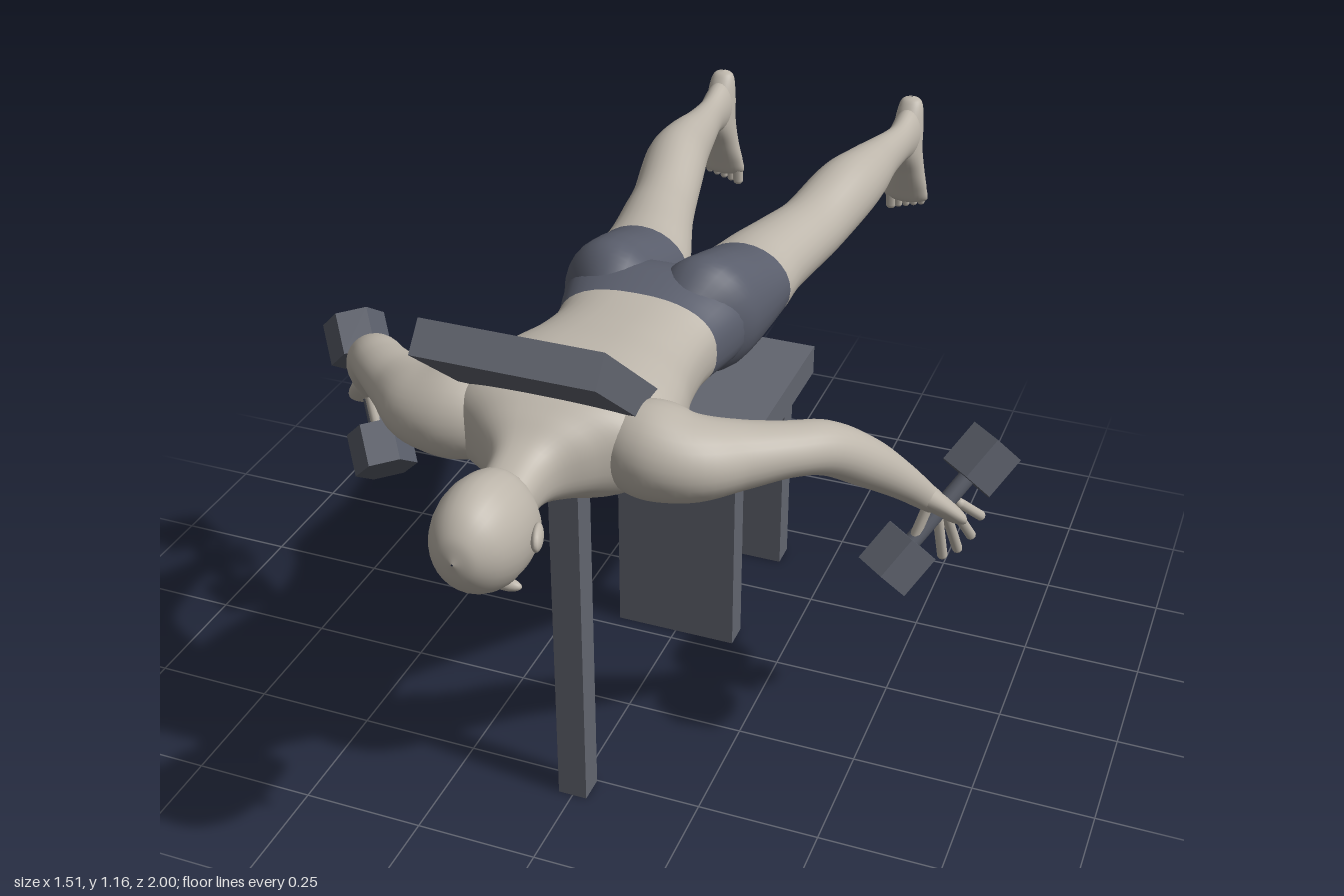
import * as THREE from 'three';

const mat = (name, color) => {
  const m = new THREE.MeshStandardMaterial({ color });
  m.name = name;
  return m;
};
const V = (x, y, z) => new THREE.Vector3(x, y, z);

export function createModel() {
  const skin = mat('skin', 0xbdb6ab);
  const shorts = mat('shorts cloth', 0x5a5e6c);
  const bench = mat('bench grey', 0x62656f);
  const iron = mat('dumbbell grey', 0x585c67);
  const model = new THREE.Group();

  const add = (name, geometry, material, parent = model) => {
    const mesh = new THREE.Mesh(geometry, material);
    mesh.name = name;
    parent.add(mesh);
    return mesh;
  };

  // Smooth skin through rings [x, y, z, width radius, height radius].
  // Material 1 is used for the key intervals from..to.
  const loft = (keys, { up = V(0, 1, 0), dir = null, power = 1, from = 0, to = 0, n = 28, steps = 6 } = {}) => {
    const centre = new THREE.CatmullRomCurve3(keys.map(k => V(k[0], k[1], k[2])), false, 'catmullrom', 0.5);
    const radii = new THREE.CatmullRomCurve3(keys.map(k => V(k[3], k[4], 0)), false, 'catmullrom', 0.5);
    const rings = (keys.length - 1) * steps;
    const pos = [], index = [];
    const bend = a => Math.sign(a) * Math.pow(Math.abs(a), power);
    for (let i = 0; i <= rings; i++) {
      const t = i / rings, c = centre.getPoint(t), r = radii.getPoint(t);
      const along = dir || centre.getTangent(t);
      const u = along.clone().cross(up).normalize();
      const v = u.clone().cross(along).normalize();
      for (let j = 0; j < n; j++) {
        const a = j / n * Math.PI * 2;
        const p = c.clone().addScaledVector(u, bend(Math.cos(a)) * Math.max(r.x, 0.001))
          .addScaledVector(v, bend(Math.sin(a)) * Math.max(r.y, 0.001));
        pos.push(p.x, p.y, p.z);
      }
    }
    for (let i = 0; i < rings; i++) for (let j = 0; j < n; j++) {
      const a = i * n + j, b = i * n + (j + 1) % n;
      index.push(a, a + n, b, b, a + n, b + n);
    }
    const g = new THREE.BufferGeometry();
    g.setAttribute('position', new THREE.Float32BufferAttribute(pos, 3));
    g.setIndex(index);
    g.computeVertexNormals();
    const per = steps * n * 6;
    g.addGroup(0, from * per, 0);
    g.addGroup(from * per, (to - from) * per, 1);
    g.addGroup(to * per, index.length - to * per, 0);
    return g;
  };

  const aim = (obj, a, b) => {
    obj.position.copy(a).lerp(b, 0.5);
    obj.quaternion.setFromUnitVectors(V(0, 1, 0), b.clone().sub(a).normalize());
  };
  const finger = (name, a, b, r, parent) =>
    aim(add(name, new THREE.CapsuleGeometry(r, a.distanceTo(b), 4, 10), skin, parent), a, b);
  const blob = (name, p, s, parent) => {
    const m = add(name, new THREE.SphereGeometry(1, 16, 12), skin, parent);
    m.position.set(...p);
    m.scale.set(...s);
    return m;
  };
  const box = (name, w, h, d, x, y, z) => {
    const m = add(name, new THREE.BoxGeometry(w, h, d), bench);
    m.position.set(x, y, z);
    return m;
  };

  // Bench
  box('benchSeat', 0.34, 0.068, 0.485, 0, 0.506, -0.223);
  box('benchFrontLeg', 0.27, 0.475, 0.057, 0, 0.2375, -0.057);
  box('benchRearLeg', 0.27, 0.475, 0.057, 0, 0.2375, -0.395);
  box('benchPost', 0.06, 0.87, 0.057, 0, 0.435, 0.53);
  box('benchBackrest', 0.34, 0.066, 0.95, 0, 0.828, 0.403).rotation.x = -0.696;

  // Torso and neck, running from the head towards the hips
  const back = V(0, 0, -1);
  add('torso', loft([
    [0, 0.86, 0.81, 0.05, 0.05], [0, 0.873, 0.73, 0.062, 0.062], [0, 0.882, 0.675, 0.12, 0.085],
    [0, 0.882, 0.62, 0.19, 0.108], [0, 0.878, 0.54, 0.215, 0.12], [0, 0.872, 0.44, 0.198, 0.12],
    [0, 0.866, 0.34, 0.172, 0.11], [0, 0.862, 0.25, 0.162, 0.102], [0, 0.862, 0.19, 0.167, 0.102],
    [0, 0.868, 0.1, 0.19, 0.107], [0, 0.862, 0.03, 0.185, 0.094], [0, 0.86, -0.015, 0.12, 0.06],
    [0, 0.86, -0.03, 0.002, 0.002],
  ], { dir: back, power: 0.82, from: 8, to: 12, n: 40 }), [skin, shorts]);

  // Head, face down
  const head = new THREE.Group();
  head.name = 'head';
  model.add(head);
  add('skull', loft([
    [0, 0.86, 1.0, 0.002, 0.002], [0, 0.86, 0.988, 0.038, 0.045], [0, 0.857, 0.955, 0.066, 0.083],
    [0, 0.851, 0.905, 0.08, 0.106], [0, 0.842, 0.85, 0.079, 0.109], [0, 0.827, 0.8, 0.068, 0.1],
    [0, 0.795, 0.768, 0.054, 0.07], [0, 0.768, 0.748, 0.03, 0.034], [0, 0.765, 0.742, 0.002, 0.002],
  ], { dir: back }), skin, head);
  blob('nose', [0, 0.732, 0.828], [0.014, 0.018, 0.024], head);
  blob('lips', [0, 0.738, 0.79], [0.024, 0.013, 0.013], head);
  blob('chin', [0, 0.75, 0.763], [0.028, 0.022, 0.018], head);

  for (const s of [1, -1]) {
    const side = s > 0 ? 'left' : 'right';
    const P = (x, y, z) => V(x * s, y, z);
    const flip = keys => keys.map(([x, ...rest]) => [x * s, ...rest]);

    blob(side + 'Brow', [0.03 * s, 0.742, 0.868], [0.03, 0.012, 0.012], head);
    blob(side + 'Ear', [0.083 * s, 0.838, 0.848], [0.011, 0.022, 0.033], head).rotation.y = 0.3 * s;

    // Leg, with the shorts covering hip and upper thigh
    add(side + 'Leg', loft(flip([
      [0.075, 0.87, 0.17, 0.05, 0.07], [0.095, 0.877, 0.09, 0.1, 0.122], [0.106, 0.87, 0.01, 0.104, 0.118],
      [0.112, 0.858, -0.12, 0.103, 0.09], [0.124, 0.862, -0.2, 0.093, 0.082], [0.148, 0.865, -0.3, 0.082, 0.077],
      [0.17, 0.868, -0.4, 0.074, 0.074], [0.198, 0.893, -0.54, 0.071, 0.077], [0.213, 0.892, -0.65, 0.058, 0.07],
      [0.221, 0.887, -0.76, 0.043, 0.055], [0.232, 0.88, -0.87, 0.032, 0.048], [0.235, 0.88, -0.94, 0.034, 0.06],
      [0.235, 0.88, -0.975, 0.022, 0.04], [0.235, 0.88, -0.985, 0.002, 0.002],
    ]), { dir: back, from: 0, to: 3 }), [skin, shorts]);

    // Foot, heel up and toes down
    const foot = new THREE.Group();
    foot.name = side + 'Foot';
    model.add(foot);
    add('sole', loft(flip([
      [0.235, 0.962, -0.972, 0.002, 0.002], [0.235, 0.95, -0.97, 0.025, 0.022], [0.235, 0.9, -0.958, 0.034, 0.041],
      [0.235, 0.84, -0.952, 0.037, 0.045], [0.235, 0.78, -0.965, 0.043, 0.033], [0.234, 0.73, -0.975, 0.051, 0.023],
      [0.234, 0.698, -0.981, 0.05, 0.016], [0.234, 0.685, -0.982, 0.002, 0.002],
    ]), { dir: V(0, -1, 0), up: V(0, 0, 1) }), skin, foot);
    for (let i = 0; i < 5; i++) {
      const x = 0.197 + i * 0.0185, r = i ? 0.0095 : 0.013;
      finger('toe', P(x, 0.705, -0.981), P(x, 0.668 + i * 0.005 + r / 2, -0.985), r, foot);
    }

    // Arm from shoulder to wrist
    add(side + 'Arm', loft(flip([
      [0.1, 0.885, 0.575, 0.06, 0.07], [0.18, 0.882, 0.583, 0.09, 0.09], [0.255, 0.875, 0.575, 0.088, 0.078],
      [0.33, 0.868, 0.525, 0.068, 0.062], [0.4, 0.863, 0.47, 0.056, 0.05], [0.455, 0.843, 0.41, 0.052, 0.05],
      [0.51, 0.785, 0.34, 0.047, 0.047], [0.56, 0.715, 0.27, 0.036, 0.036], [0.592, 0.66, 0.22, 0.026, 0.028],
      [0.61, 0.63, 0.192, 0.022, 0.024],
    ])), skin);

    // Hand with spread fingers
    const hand = new THREE.Group();
    hand.name = side + 'Hand';
    model.add(hand);
    add('palm', loft(flip([
      [0.588, 0.667, 0.226, 0.024, 0.024], [0.607, 0.635, 0.195, 0.034, 0.022],
      [0.628, 0.595, 0.158, 0.042, 0.019], [0.64, 0.572, 0.137, 0.036, 0.014], [0.643, 0.567, 0.133, 0.002, 0.002],
    ])), skin, hand);
    const fingers = [
      [[0.617, 0.575, 0.165], [0.626, 0.476, 0.14]], [[0.63, 0.575, 0.15], [0.648, 0.476, 0.108]],
      [[0.642, 0.582, 0.138], [0.668, 0.498, 0.085]], [[0.65, 0.595, 0.128], [0.682, 0.543, 0.078]],
      [[0.602, 0.62, 0.2], [0.58, 0.54, 0.215]],
    ];
    for (const [a, b] of fingers) finger('finger', P(...a), P(...b), 0.0105, hand);

    // Hexagonal dumbbell
    const bell = new THREE.Group();
    bell.name = side + 'Dumbbell';
    aim(bell, P(0.56, 0.515, 0.238), P(0.678, 0.682, 0.098));
    model.add(bell);
    add('handle', new THREE.CylinderGeometry(0.017, 0.017, 0.24, 16), iron, bell);
    for (const e of [1, -1]) {
      const hex = new THREE.CylinderGeometry(0.066, 0.066, 0.092, 6).toNonIndexed();
      hex.computeVertexNormals();
      add('weight', hex, iron, bell).position.y = e * 0.125;
    }
  }
  return model;
}
